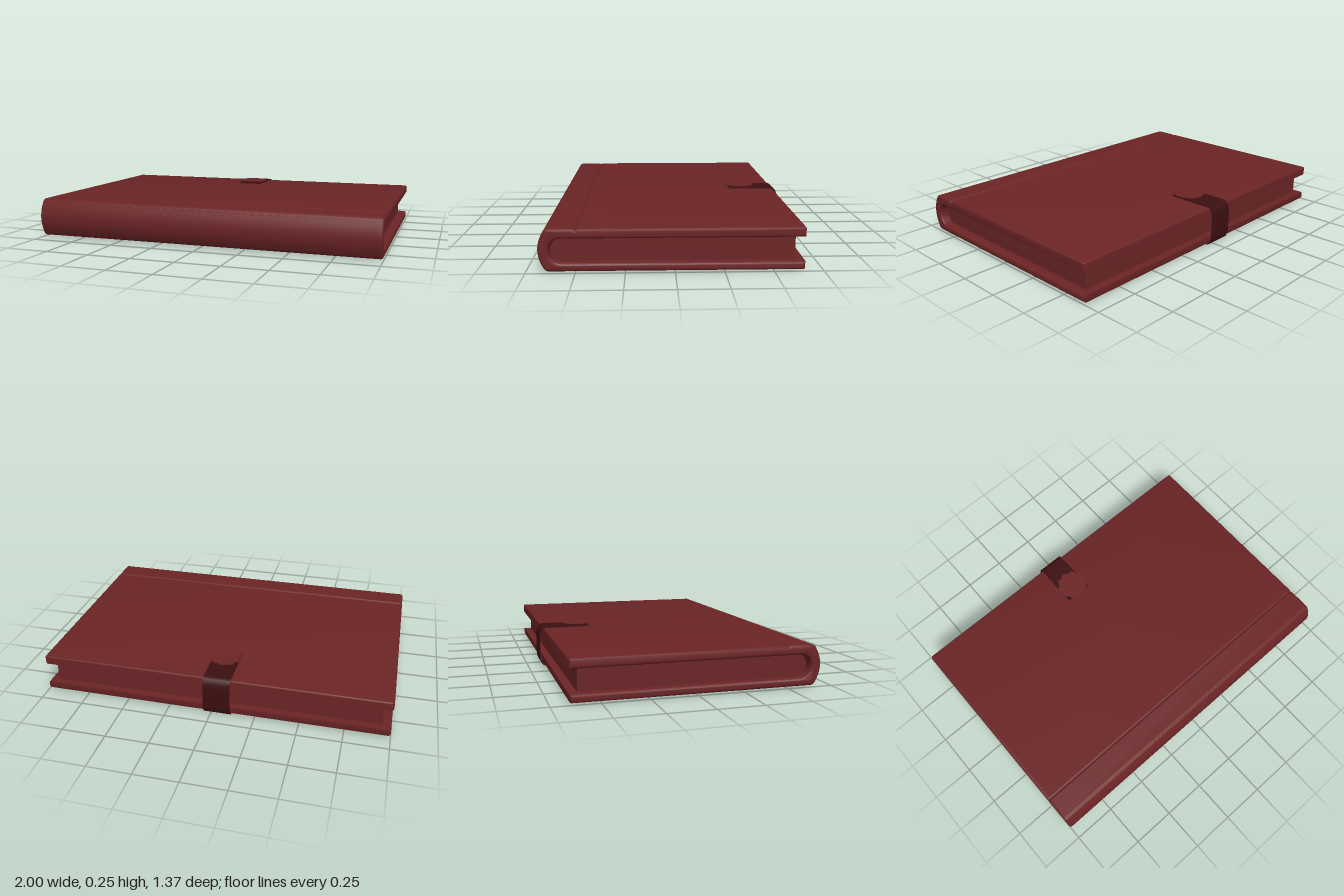
import * as THREE from 'three';
import { toCreasedNormals } from 'three/addons/utils/BufferGeometryUtils.js';

// Extrudes a side profile (drawn as z, y) along x between x0 and x1
function extrudeAlongX(shape, x0, x1, bevel = 0) {
  const geo = new THREE.ExtrudeGeometry(shape, {
    depth: x1 - x0 - 2 * bevel,
    bevelEnabled: bevel > 0,
    bevelSize: bevel,
    bevelThickness: bevel,
    bevelOffset: -bevel,
    bevelSegments: 4,
    curveSegments: 16,
  });
  geo.rotateY(-Math.PI / 2);
  geo.translate(x1 - bevel, 0, 0);
  return toCreasedNormals(geo, 0.6);
}

export function createModel() {
  const leather = new THREE.MeshStandardMaterial({ color: 0x6b2425 });
  leather.name = 'red leather';
  const darkLeather = new THREE.MeshStandardMaterial({ color: 0x3c0f10 });
  darkLeather.name = 'dark leather';

  const group = new THREE.Group();
  group.name = 'book';
  const add = (name, geo, mat) => {
    const mesh = new THREE.Mesh(geo, mat);
    mesh.name = name;
    group.add(mesh);
    return mesh;
  };

  // Wrap-around cover: two boards and a bowed spine, with a hinge groove on top
  const cover = new THREE.Shape();
  cover.moveTo(-0.645, 0.008);
  cover.lineTo(0.63, 0.008);
  cover.quadraticCurveTo(0.65, 0.008, 0.66, 0.03);
  cover.quadraticCurveTo(0.71, 0.117, 0.66, 0.205);
  cover.quadraticCurveTo(0.65, 0.228, 0.63, 0.228);
  cover.lineTo(0.507, 0.228);
  cover.lineTo(0.497, 0.221);
  cover.lineTo(0.487, 0.228);
  cover.lineTo(-0.645, 0.228);
  cover.quadraticCurveTo(-0.655, 0.228, -0.655, 0.218);
  cover.lineTo(-0.655, 0.177);
  cover.lineTo(0.57, 0.177);
  cover.bezierCurveTo(0.65, 0.172, 0.65, 0.056, 0.57, 0.05);
  cover.lineTo(-0.655, 0.05);
  cover.lineTo(-0.655, 0.018);
  cover.quadraticCurveTo(-0.655, 0.008, -0.645, 0.008);
  add('cover', extrudeAlongX(cover, -1, 1, 0.014), leather);

  // Page block, rounded towards the spine
  const pages = new THREE.Shape();
  pages.moveTo(-0.61, 0.045);
  pages.lineTo(0.56, 0.045);
  pages.bezierCurveTo(0.645, 0.055, 0.645, 0.172, 0.56, 0.182);
  pages.lineTo(-0.61, 0.182);
  add('pages', extrudeAlongX(pages, -0.95, 0.95), leather);

  // Closing strap around the open edge
  const t = 0.005;
  const strap = new THREE.Shape();
  strap.moveTo(-0.38, 0.236);
  strap.lineTo(-0.64, 0.236);
  strap.bezierCurveTo(-0.672, 0.236, -0.682, 0.2, -0.682, 0.17);
  strap.lineTo(-0.682, 0.066);
  strap.bezierCurveTo(-0.682, 0.036, -0.672, 0, -0.64, 0);
  strap.lineTo(-0.38, 0);
  strap.lineTo(-0.38, t);
  strap.lineTo(-0.64, t);
  strap.bezierCurveTo(-0.667, t, -0.682 + t, 0.04, -0.682 + t, 0.066);
  strap.lineTo(-0.682 + t, 0.17);
  strap.bezierCurveTo(-0.682 + t, 0.196, -0.667, 0.236 - t, -0.64, 0.236 - t);
  strap.lineTo(-0.38, 0.236 - t);
  add('strap', extrudeAlongX(strap, -0.115, 0.04), darkLeather);

  // Scalloped flower clasp above the strap
  const points = [];
  const petals = 10;
  for (let i = 0; i < petals * 10; i++) {
    const a = (i / (petals * 10)) * Math.PI * 2;
    const r = 0.08 + 0.012 * Math.abs(Math.sin((a * petals) / 2));
    points.push(new THREE.Vector2(r * Math.cos(a), r * Math.sin(a)));
  }
  const flower = new THREE.ExtrudeGeometry(new THREE.Shape(points), { depth: 0.004, bevelEnabled: false });
  flower.rotateX(-Math.PI / 2);
  add('flowerClasp', flower, leather).position.set(-0.033, 0.247, -0.447);

  return group;
}
